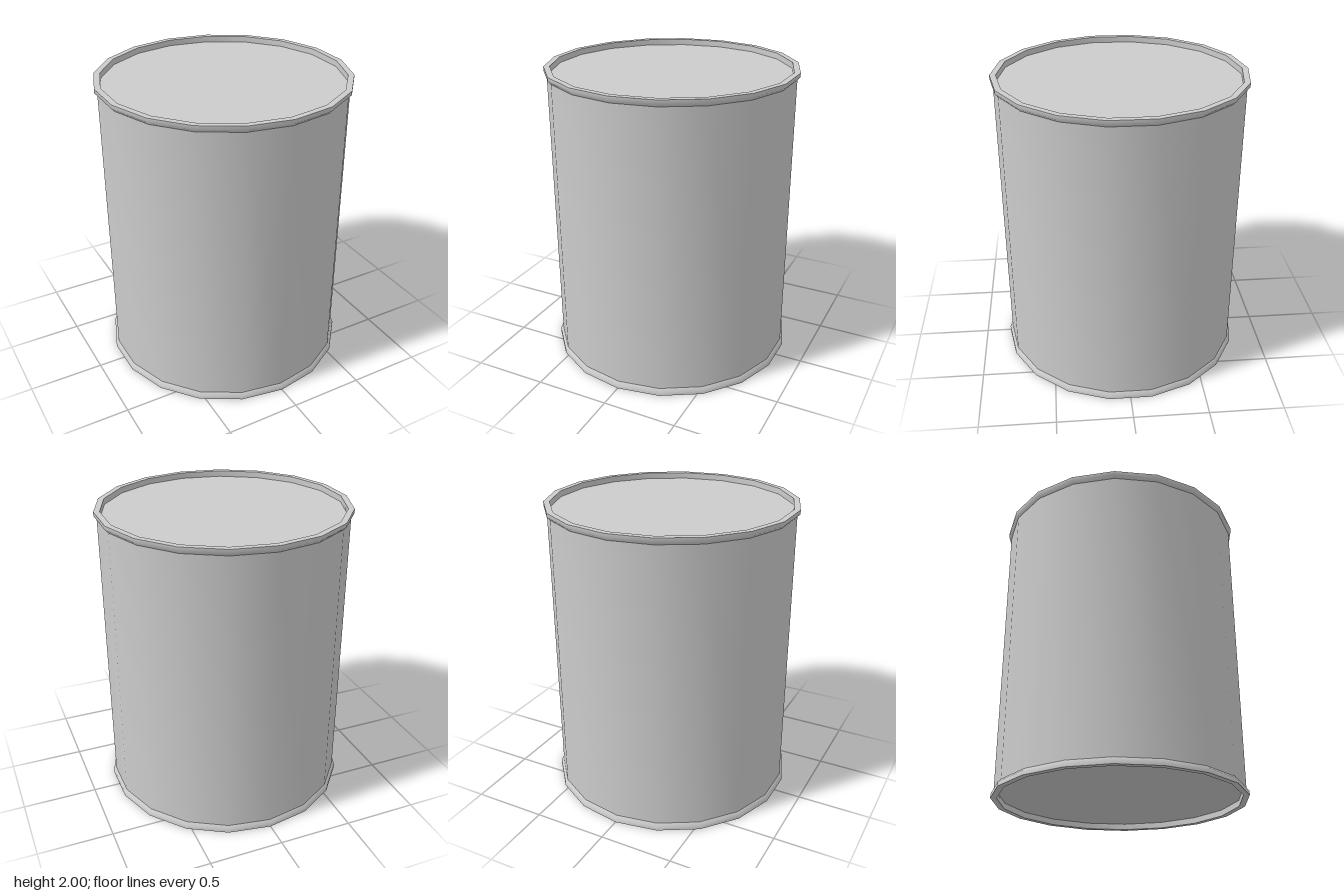
import * as THREE from 'three';
import { toCreasedNormals } from 'three/addons/utils/BufferGeometryUtils.js';

const SIDES = 18;
const HEIGHT = 2;
const BODY_R = 0.812; // can wall
const RIM_R = 0.83; // outside of the rims
const LID_R = 0.79; // inside of the rims
const RECESS = 0.04; // depth of the lids below the rims

export function createModel() {
  const group = new THREE.Group();
  const material = new THREE.MeshStandardMaterial({ color: 0xcccccc });

  const add = (name, geometry) => {
    const mesh = new THREE.Mesh(geometry, material);
    mesh.name = name;
    group.add(mesh);
  };
  const lathe = (profile) => toCreasedNormals(
    new THREE.LatheGeometry(profile.map(([r, y]) => new THREE.Vector2(r, y)), SIDES), 0.95);

  // Smooth wall between the two rims
  add('body', lathe([[BODY_R, 0.02], [BODY_R, HEIGHT - 0.02]]));

  // Rim section, from the wall over the lip and down to the lid
  const rim = [
    [BODY_R, HEIGHT - 0.045],
    [RIM_R, HEIGHT - 0.027],
    [RIM_R, HEIGHT],
    [LID_R, HEIGHT],
    [LID_R, HEIGHT - RECESS],
  ];
  add('topRim', lathe(rim));
  add('bottomRim', lathe(rim.map(([r, y]) => [r, HEIGHT - y]).reverse()));

  // Recessed lids, turned so their corners meet the rims
  const lid = (tilt, y) => new THREE.CircleGeometry(LID_R, SIDES, Math.PI / 2)
    .rotateX(tilt).translate(0, y, 0);
  add('topLid', lid(-Math.PI / 2, HEIGHT - RECESS));
  add('bottomLid', lid(Math.PI / 2, RECESS));

  return group;
}
